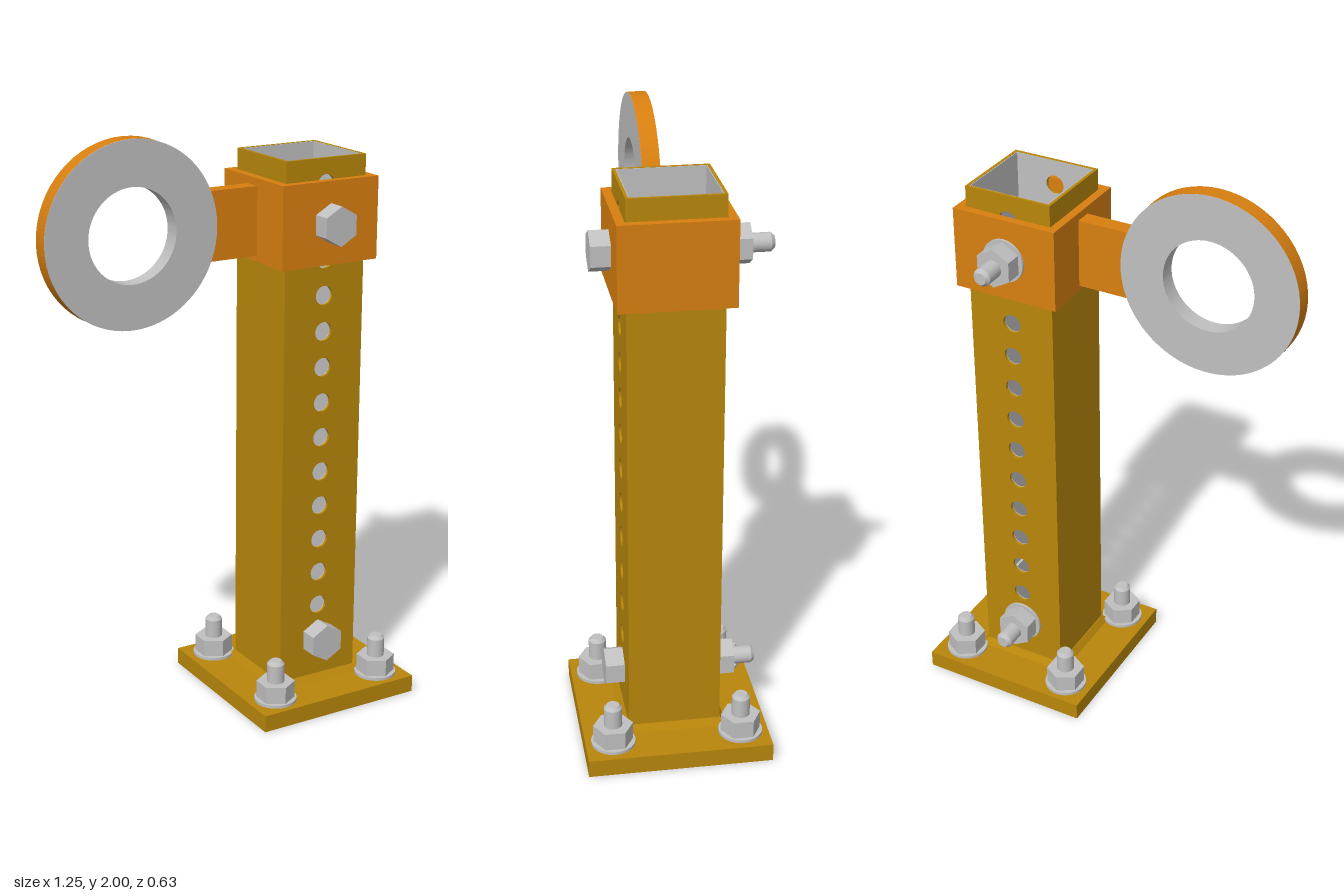
import * as THREE from 'three';
import { toCreasedNormals } from 'three/addons/utils/BufferGeometryUtils.js';

const mat = (name, color) => Object.assign(new THREE.MeshStandardMaterial({ color }), { name });

export function createModel() {
  const mustard = mat('mustard paint', 0xb8860b);
  const orange = mat('orange paint', 0xd87f10);
  const steel = mat('steel', 0xc0c0c0);

  const model = new THREE.Group();
  model.name = 'adjustableEyePost';
  const CX = 0.3165, CZ = 0.01, HOLE_R = 0.032, POST_TOP = 1.905;
  const BOLT_LOW = 0.222, BOLT_HIGH = 1.697;

  const add = (parent, name, geometry, material, x = 0, y = 0, z = 0) => {
    const mesh = new THREE.Mesh(geometry, material);
    mesh.name = name;
    mesh.position.set(x, y, z);
    parent.add(mesh);
    return mesh;
  };
  // box given by its limits on each axis
  const box = (parent, name, material, x0, x1, y0, y1, z0, z1) =>
    add(parent, name, new THREE.BoxGeometry(x1 - x0, y1 - y0, z1 - z0), material,
      (x0 + x1) / 2, (y0 + y1) / 2, (z0 + z1) / 2);
  const flat = (geometry) => {
    const g = geometry.toNonIndexed();
    g.computeVertexNormals();
    return g;
  };
  // upright cylinder or hexagon between two heights
  const rod = (parent, name, r, y0, y1, sides = 32, rTop = r) => {
    let g = new THREE.CylinderGeometry(rTop, r, y1 - y0, sides);
    if (sides === 6) g = flat(g);
    return add(parent, name, g, steel, 0, (y0 + y1) / 2, 0);
  };
  const shank = (parent, y0, y1) => {
    rod(parent, 'shank', 0.03, y0, y1 - 0.012);
    rod(parent, 'shankTip', 0.03, y1 - 0.012, y1, 32, 0.02);
  };

  // base plate and the weld around the post
  box(model, 'basePlate', mustard, CX - 0.305, CX + 0.305, 0, 0.06, CZ - 0.305, CZ + 0.305);
  const weld = flat(new THREE.CylinderGeometry(0.155 * Math.SQRT2, 0.172 * Math.SQRT2, 0.022, 4).rotateY(Math.PI / 4));
  add(model, 'postWeld', weld, mustard, CX, 0.071, CZ);

  // hollow post: painted outer skin and bare inner skin, drilled front and back
  const post = new THREE.Group();
  post.name = 'post';
  post.position.set(CX, 0, CZ);
  model.add(post);
  const drilledPlate = (half, depth, y0, y1) => {
    const s = new THREE.Shape();
    s.moveTo(-half, y0).lineTo(half, y0).lineTo(half, y1).lineTo(-half, y1).closePath();
    for (let i = 0; i < 14; i++) {
      const y = BOLT_LOW + i * (BOLT_HIGH - BOLT_LOW) / 12;
      if (y + HOLE_R > y1) break;
      s.holes.push(new THREE.Path().absarc(0, y, HOLE_R, 0, Math.PI * 2, true));
    }
    const g = new THREE.ExtrudeGeometry(s, { depth, bevelEnabled: false, curveSegments: 24 });
    return toCreasedNormals(g, 0.6);
  };
  const tube = (name, material, half, wall, y0, y1) => {
    const plate = drilledPlate(half, wall, y0, y1);
    add(post, name + 'Front', plate, material, 0, 0, half - wall);
    add(post, name + 'Back', plate, material, 0, 0, -half);
    for (const s of [-1, 1]) {
      add(post, name + 'Side', new THREE.BoxGeometry(wall, y1 - y0, 2 * (half - wall)), material,
        s * (half - wall / 2), (y0 + y1) / 2, 0);
    }
  };
  tube('postWall', mustard, 0.152, 0.01, 0.06, POST_TOP);
  tube('postLining', steel, 0.142, 0.003, 0.06, POST_TOP - 0.001);
  tube('innerSocket', steel, 0.137, 0.01, 0.06, 0.3);
  box(post, 'postFloor', steel, -0.139, 0.139, 0.06, 0.064, -0.139, 0.139);

  // sliding collar: four walls around the post
  const collar = new THREE.Group();
  collar.name = 'collar';
  model.add(collar);
  const o = 0.1825, n = 0.1545, y0 = 1.56, y1 = 1.835;
  for (const s of [-1, 1]) {
    const x = CX + s * (o + n) / 2, z = CZ + s * (o + n) / 2, w = (o - n) / 2;
    box(collar, 'collarSide', orange, x - w, x + w, y0, y1, CZ - o, CZ + o);
    box(collar, 'collarFace', orange, CX - n, CX + n, y0, y1, z - w, z + w);
  }

  // arm and eye ring
  box(model, 'arm', orange, -0.06, CX - o + 0.005, 1.58, 1.81, -0.02, 0.036);
  const R = 0.305;
  const eye = new THREE.Shape().absarc(0, 0, R - 0.001, 0, Math.PI * 2, false);
  eye.holes.push(new THREE.Path().absarc(0, 0, 0.155, 0, Math.PI * 2, true));
  const eyeGeo = new THREE.ExtrudeGeometry(eye, { depth: 0.059, bevelEnabled: false, curveSegments: 64 });
  add(model, 'eyeRing', toCreasedNormals(eyeGeo, 0.6), steel, -0.32, 1.695, -0.022);
  const rim = new THREE.CylinderGeometry(R, R, 0.059, 64, 1, true).rotateX(Math.PI / 2);
  add(model, 'eyeRim', rim, orange, -0.32, 1.695, 0.0075);

  // cross bolts: head at the front, washer and nut at the back
  for (const [y, half] of [[BOLT_LOW, 0.152], [BOLT_HIGH, o]]) {
    const bolt = new THREE.Group();
    bolt.name = 'crossBolt';
    bolt.position.set(CX, y, CZ);
    bolt.rotation.x = -Math.PI / 2;
    model.add(bolt);
    rod(bolt, 'boltHead', 0.066, -half - 0.063, -half, 6);
    shank(bolt, -half, half + 0.143);
    rod(bolt, 'washer', 0.073, half, half + 0.009);
    rod(bolt, 'nut', 0.066, half + 0.009, half + 0.067, 6);
  }

  // four anchor studs with washers and nuts
  for (const sx of [-1, 1]) for (const sz of [-1, 1]) {
    const anchor = new THREE.Group();
    anchor.name = 'anchorStud';
    anchor.position.set(CX + sx * 0.208, 0, CZ + sz * 0.2125);
    model.add(anchor);
    rod(anchor, 'washer', 0.073, 0.06, 0.07);
    rod(anchor, 'nut', 0.066, 0.07, 0.13, 6);
    shank(anchor, 0.05, 0.207);
  }
  return model;
}
